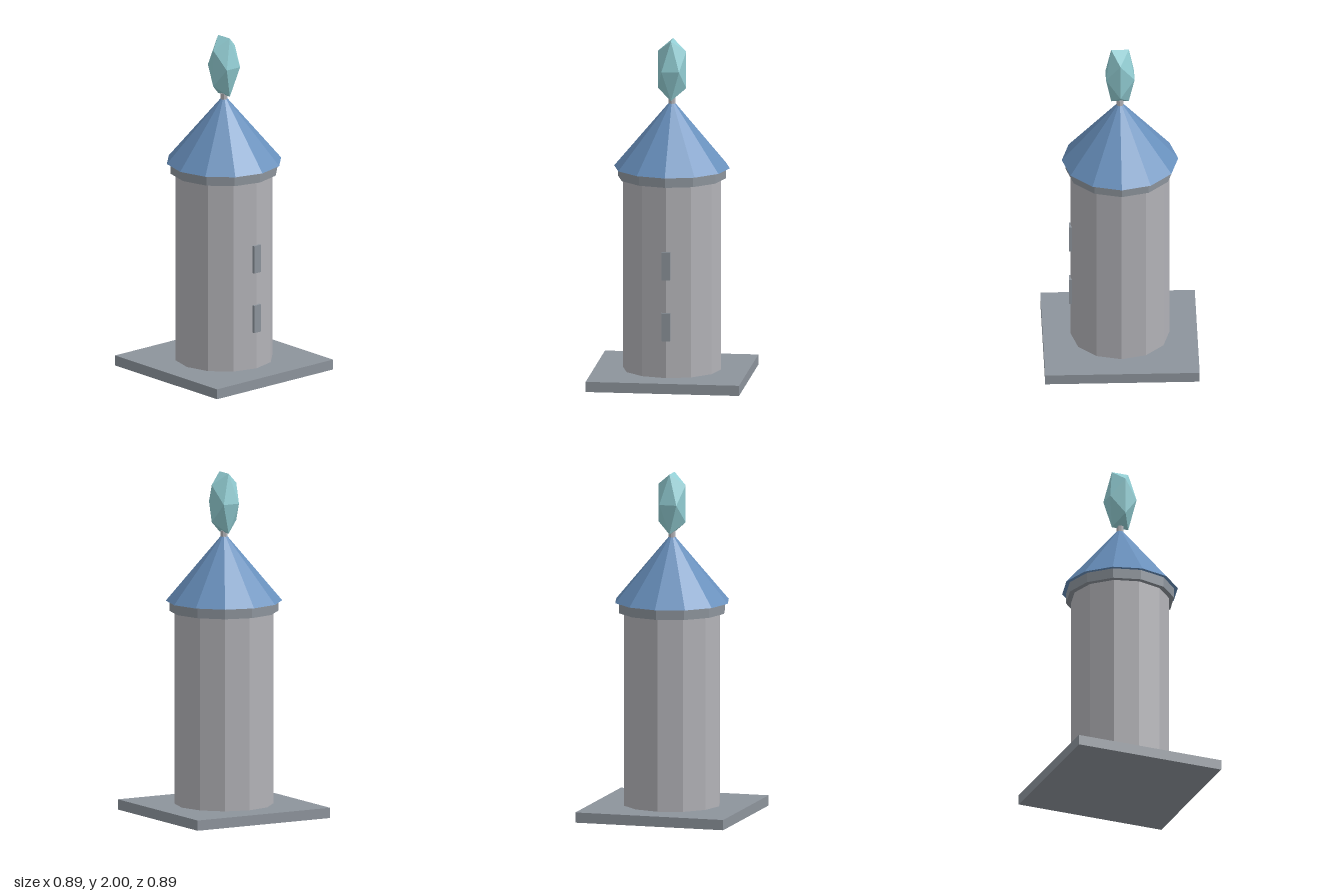
import * as THREE from 'three';

export function createModel() {
  const group = new THREE.Group();
  group.name = 'crystalTower';

  const material = (name, color) => {
    const m = new THREE.MeshStandardMaterial({ color, flatShading: true });
    m.name = name;
    return m;
  };
  const stone = material('light stone', 0xb2b2b7);
  const slate = material('grey slate', 0x8d949c);
  const blue = material('blue roof', 0x6890bd);
  const aqua = material('aqua crystal', 0x92cdd3);

  const add = (name, geometry, mat, y, z = 0) => {
    const mesh = new THREE.Mesh(geometry, mat);
    mesh.name = name;
    mesh.position.set(0, y, z);
    group.add(mesh);
    return mesh;
  };
  // Twelve-sided solid standing between two heights
  const drum = (name, rTop, rBottom, y0, y1, mat, sides = 12) =>
    add(name, new THREE.CylinderGeometry(rTop, rBottom, y1 - y0, sides), mat, (y0 + y1) / 2);

  // Square plinth
  add('base', new THREE.BoxGeometry(0.894, 0.06, 0.894), slate, 0.03);

  // Shaft, collar and pointed roof
  drum('shaft', 0.285, 0.285, 0.06, 1.19, stone);
  drum('collar', 0.315, 0.315, 1.19, 1.25, slate);
  add('roof', new THREE.ConeGeometry(0.337, 0.4, 12), blue, 1.45);

  // Narrow windows on the front
  for (const y of [0.362, 0.722]) {
    add('window', new THREE.BoxGeometry(0.05, 0.165, 0.021), slate, y, 0.284);
  }

  // Finial stem and stretched crystal
  drum('finialStem', 0.021, 0.021, 1.6, 1.66, stone, 8);
  const crystal = new THREE.IcosahedronGeometry(0.0975, 0);
  crystal.rotateY(Math.PI / 2);
  crystal.scale(1, 2.12, 1);
  add('crystal', crystal, aqua, 1.824);

  return group;
}
